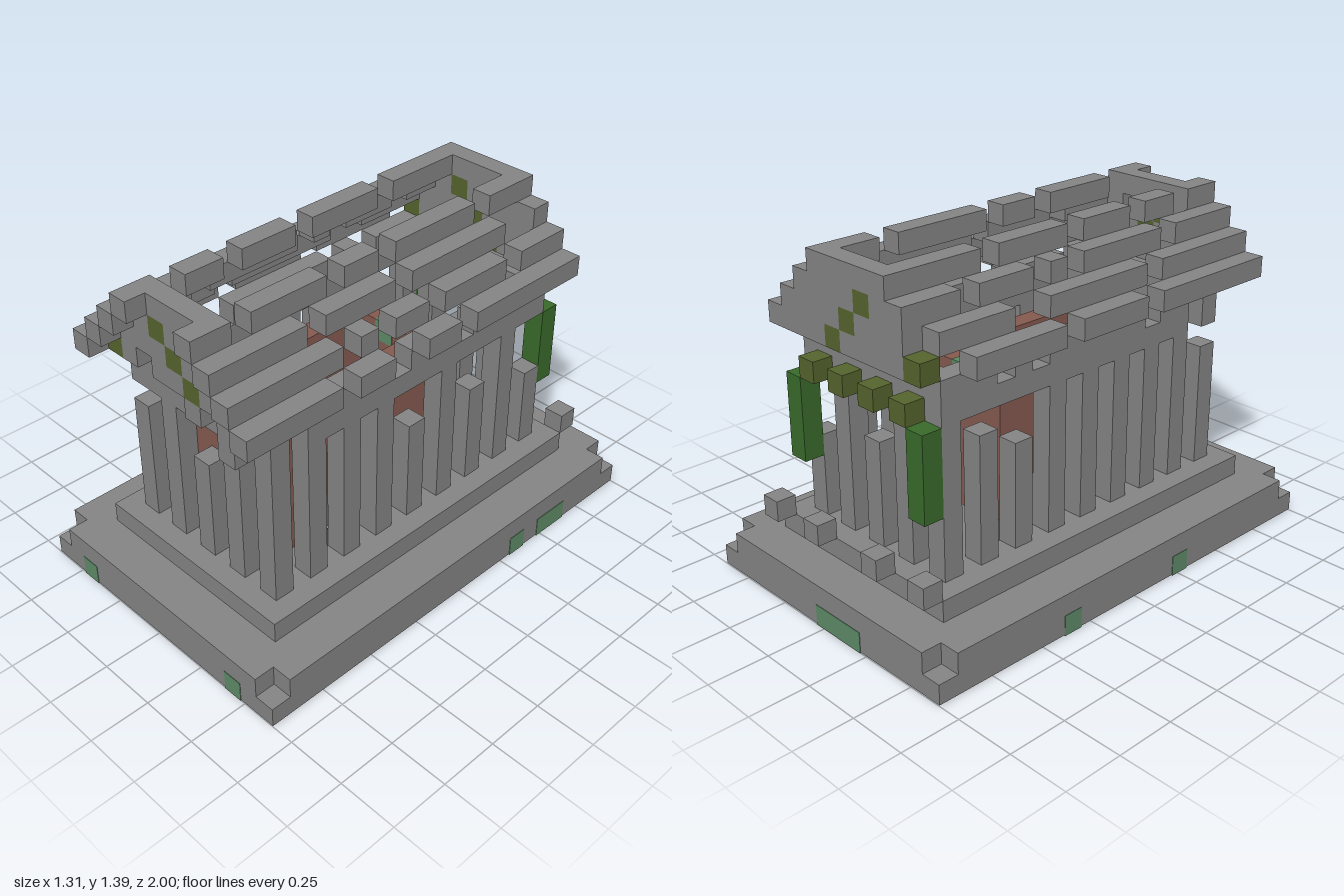
import * as THREE from 'three';

const U = 2 / 23; // edge of one block

export function createModel() {
  const model = new THREE.Group();
  model.name = 'ruinedTemple';
  const material = (name, color) => {
    const m = new THREE.MeshStandardMaterial({ color });
    m.name = name;
    return m;
  };
  const stone = material('stone', 0x868686);
  const clay = material('redClay', 0x875b50);
  const moss = material('moss', 0x5f8c68);
  const lichen = material('oliveLichen', 0x56652f);
  const vine = material('vine', 0x3a6b2b);

  // Box filling the blocks from a to b inclusive; grow swells it slightly
  function blocks(name, mat, a, b = a, grow = 0, parent = model) {
    const size = a.map((v, i) => (b[i] - v + 1) * U + grow);
    const mesh = new THREE.Mesh(new THREE.BoxGeometry(...size), mat);
    mesh.name = name;
    mesh.position.set((a[0] + b[0]) / 2 * U, ((a[1] + b[1] + 1) / 2) * U, (a[2] + b[2]) / 2 * U);
    parent.add(mesh);
    return mesh;
  }
  // Beam along z, broken at the missing blocks
  function brokenBeam(name, mat, x, y, z0, z1, gaps) {
    const group = new THREE.Group();
    group.name = name;
    let start = null;
    for (let z = z0; z <= z1 + 1; z++) {
      const solid = z <= z1 && !gaps.includes(z);
      if (solid && start === null) start = z;
      if (!solid && start !== null) {
        blocks(name + 'Piece', mat, [x, y, start], [x, y, z - 1], 0, group);
        start = null;
      }
    }
    model.add(group);
  }

  // Stepped base, notched at its upper corners
  const foot = blocks('baseSlab', stone, [-7, 0, -11], [7, 0, 11]);
  foot.scale.y = (U - 0.004) / U;
  foot.position.y += 0.002;
  blocks('baseUpperLong', stone, [-6, 1, -11], [6, 1, 11]);
  for (const x of [-7, 7]) blocks('baseUpperSide', stone, [x, 1, -10], [x, 1, 10]);
  blocks('floorStep', stone, [-5, 2, -9], [5, 2, 9]);

  // Moss plates on the edges of the base
  function plate(x, z, w, d) {
    const m = new THREE.Mesh(new THREE.BoxGeometry(w, U, d), moss);
    m.name = 'baseMoss';
    m.position.set(x, U / 2, z);
    model.add(m);
  }
  for (const x of [-5, 5]) plate(x * U, 11.5 * U, U, 0.004);
  for (const x of [-2, -1, 0]) plate(x * U, -11.5 * U, U, 0.004);
  for (const z of [-4, -6, -7]) plate(7.5 * U, z * U, 0.004, U);
  for (const z of [-4, 3]) plate(-7.5 * U, z * U, 0.004, U);

  // Moss scattered under the base
  const under = [[1, -4], [-2, -8], [-3, -8], [-2, -7], [2, -8], [3, -8], [5, 1], [2, 5], [2, 4], [-1, 6],
    [-3, -9], [-6, -10], [4, 5], [-1, 0], [-4, 0], [3, 9], [-3, 7], [-2, -4], [-1, -4], [1, 0], [0, 2],
    [5, -5], [-5, -5], [-4, 4], [0, 7], [6, 9], [-5, -8], [1, 3]];
  for (const [x, z] of under) {
    const m = new THREE.Mesh(new THREE.BoxGeometry(U, 0.006, U), moss);
    m.name = 'undersideMoss';
    m.position.set(x * U, 0.003, z * U);
    model.add(m);
  }

  // Colonnade; broken columns have fewer blocks
  const short = { '-4,8': 6, '0,8': 5, '4,0': 5, '4,-4': 5, '4,-8': 4, '-4,-4': 5, '-4,-6': 6, '0,-8': 5 };
  for (let x = -4; x <= 4; x += 2) {
    for (let z = -8; z <= 8; z += 2) {
      if (Math.abs(x) !== 4 && Math.abs(z) !== 8) continue;
      const h = short[`${x},${z}`] ?? 7;
      blocks('column', stone, [x, 3, z], [x, 2 + h, z]);
    }
  }

  // Inner chamber of red walls
  for (const z of [-3, 7]) {
    blocks('chamberEndWall', clay, [-2, 3, z], [2, 9, z]);
    blocks('wallMoss', moss, [0, 9, z], [0, 9, z], 0.006);
  }
  for (const x of [-2, 2]) blocks('chamberSideWall', clay, [x, 3, -2], [x, 9, 6]);
  blocks('wallMoss', moss, [2, 8, 5], [2, 8, 5], 0.006);
  blocks('wallMoss', moss, [2, 5, 7], [2, 5, 7], 0.006);
  blocks('pedestal', stone, [0, 3, 6]);

  // Fallen blocks
  for (const x of [-5, -2, 2, 5]) blocks('fallenBlock', stone, [x, 3, -10]);
  blocks('fallenBlock', stone, [-3, 3, -5]);
  for (const z of [1, 5]) blocks('fallenBrick', clay, [3, 3, z]);

  // Lintels over the columns
  for (const z of [-8, 8]) blocks('endLintel', stone, [-4, 10, z], [4, 11, z]);
  for (const x of [-4, 4]) {
    brokenBeam('sideLintelLower', stone, x, 10, -7, 7, [7]);
    brokenBeam('sideLintelUpper', stone, x, 11, -7, 7, x > 0 ? [7, -3, 1, 2] : [7, -3, -5, 4]);
  }
  for (const [x, y] of [[1, 11], [3, 11], [3, 10], [4, 11]]) blocks('frontBracket', stone, [x, y, 9]);
  for (const x of [-3, -1, 1, 3]) blocks('backBracket', lichen, [x, 10, -9]);

  // Stepped gables with lichen blocks
  const lichenCells = ['-4,12', '1,12', '0,13', '-1,14'];
  const missing = ['1,14', '-2,12'];
  for (const z of [-9, 9]) {
    for (let y = 12; y <= 15; y++) {
      for (let x = y - 16; x <= 16 - y; x++) {
        const key = `${x},${y}`;
        if (z > 0 && missing.includes(key)) continue;
        const mossy = lichenCells.includes(key);
        blocks(mossy ? 'gableLichen' : 'gableBlock', mossy ? lichen : stone, [x, y, z]);
      }
    }
  }

  // Broken roof beams, stepping up to the ridge
  const gaps = {
    '5': [-2, 1, 2, 5], '4': [-6, -1, 2, 4], '3': [-8, -7, 0, 5], '2': [-6, 0, 3, 8],
    '-5': [-9, -8, -2, 3], '-4': [-9, -4, -3, 4], '-3': [-6, -2, 0, 6], '-2': [-4, 1, 5, 8],
  };
  for (let x = 2; x <= 5; x++) {
    for (const s of [-1, 1]) brokenBeam('roofBeam', stone, s * x, 17 - x, -9, 10, gaps[s * x]);
  }

  // Vines hanging at the back corners
  for (const x of [-4, 4]) blocks('hangingVine', vine, [x, 6, -9], [x, 9, -9]);

  return model;
}
